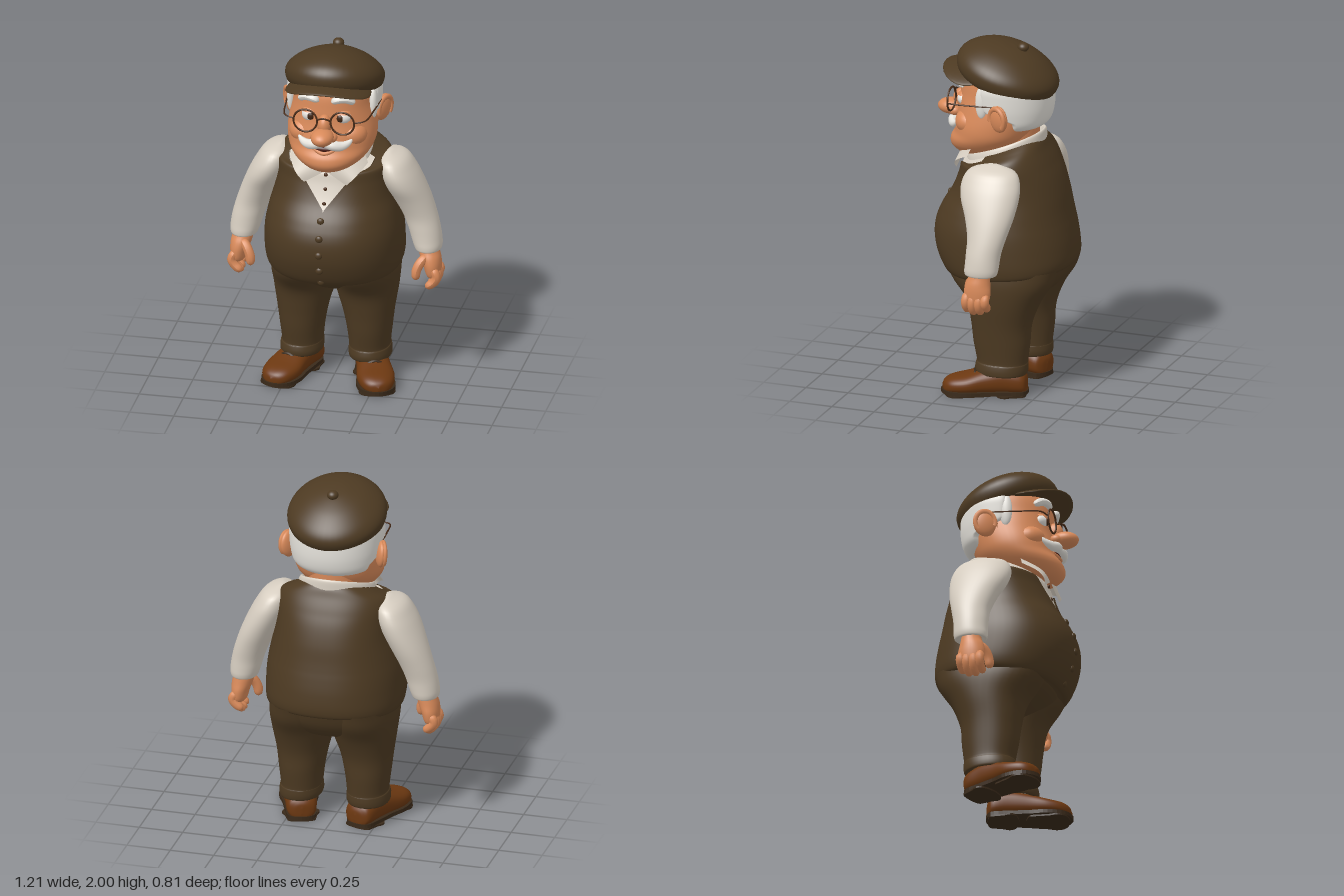
import * as THREE from 'three';
import { mergeVertices } from 'three/addons/utils/BufferGeometryUtils.js';

const paint = (name, color, side = THREE.FrontSide) => {
  const m = new THREE.MeshStandardMaterial({ color, side });
  m.name = name;
  return m;
};
const V = (x, y, z) => new THREE.Vector3(x, y, z);
const { lerp, smoothstep, clamp } = THREE.MathUtils;

// Smooth surface from fn(u, v) on a grid
function surface(fn, nu, nv) {
  const pos = [], idx = [];
  for (let j = 0; j <= nv; j++)
    for (let i = 0; i <= nu; i++) pos.push(...fn(i / nu, j / nv).toArray());
  for (let j = 0; j < nv; j++)
    for (let i = 0; i < nu; i++) {
      const a = j * (nu + 1) + i, c = a + nu + 1;
      idx.push(a, a + 1, c + 1, a, c + 1, c);
    }
  let g = new THREE.BufferGeometry();
  g.setAttribute('position', new THREE.Float32BufferAttribute(pos, 3));
  g.setIndex(idx);
  g = mergeVertices(g, 1e-5);
  g.computeVertexNormals();
  return g;
}

// Rounded cross-sections [y, halfWidth, zFront, zBack, centreX], bottom to top.
// open(y, rx) is the half angle left out at the front; panel fills that gap instead.
function loft(secs, { n = 2, inset = 0, open = () => 0, panel = false, bend } = {}, nu = 40, nv = 40) {
  const a = new THREE.CatmullRomCurve3(secs.map(s => V(s[1], s[0], s[4] || 0)), false, 'catmullrom');
  const b = new THREE.CatmullRomCurve3(secs.map(s => V(s[2], s[0], s[3])), false, 'catmullrom');
  const pw = w => Math.sign(w) * Math.abs(w) ** (2 / n);
  return surface((u, v) => {
    const p = a.getPoint(v), q = b.getPoint(v);
    const rx = Math.max(0, p.x), f = open(p.y, rx);
    const th = panel ? (u * 2 - 1) * (f + 0.06) : f + u * (Math.PI * 2 - 2 * f);
    const out = V(p.z + Math.max(0, rx - inset) * pw(Math.sin(th)), p.y,
      (q.x + q.z) / 2 + Math.max(0, (q.x - q.z) / 2 - inset) * pw(Math.cos(th)));
    if (bend) bend(out, u);
    return out;
  }, nu, nv);
}

// Tube along points with a radius rule r(t)
function sweep(points, r, seg = 16, sides = 10) {
  const curve = new THREE.CatmullRomCurve3(points.map(p => V(...p)));
  const g = new THREE.TubeGeometry(curve, seg, 1, sides);
  const pos = g.attributes.position, p = V(0, 0, 0);
  for (let i = 0; i < pos.count; i++) {
    const t = Math.floor(i / (sides + 1)) / seg, c = curve.getPointAt(t);
    p.fromBufferAttribute(pos, i).sub(c).multiplyScalar(r(t)).add(c);
    pos.setXYZ(i, p.x, p.y, p.z);
  }
  g.computeVertexNormals();
  return g;
}
const rounded = r => t => r * Math.max(0.02, 1 - Math.abs(2 * t - 1) ** 5) ** 0.5;
const ball = (x, y, z, rx, ry, rz) =>
  new THREE.SphereGeometry(1, 28, 20).scale(rx, ry, rz).translate(x, y, z);

export function createModel() {
  const cloth = paint('brown cloth', 0x4d3a22, THREE.DoubleSide);
  const skin = paint('skin', 0xd98a5a);
  const shirt = paint('shirt linen', 0xd8cfc2, THREE.DoubleSide);
  const white = paint('white hair', 0xe6e3dc, THREE.DoubleSide);
  const leather = paint('shoe leather', 0x6c3811);
  const sole = paint('dark sole', 0x3a2a1a);
  const frame = paint('spectacle frame', 0x4a2c18);
  const eyeWhite = paint('eye white', 0xeeeae4);
  const iris = paint('iris', 0x3f2412);
  const dark = paint('mouth inside', 0x4a1c14);

  const model = new THREE.Group();
  const add = (name, geo, mat, parent = model) => {
    const m = new THREE.Mesh(geo, mat);
    m.name = name;
    parent.add(m);
    return m;
  };

  // Waistcoat with V opening, and the shirt panel behind it; the neckline tilts forward
  const torso = [
    [0.71, 0.32, 0.25, -0.35], [0.70, 0.365, 0.30, -0.39], [0.75, 0.383, 0.345, -0.405],
    [0.85, 0.386, 0.385, -0.40], [0.95, 0.38, 0.388, -0.385], [1.05, 0.36, 0.35, -0.365],
    [1.15, 0.335, 0.29, -0.345], [1.25, 0.325, 0.25, -0.315], [1.33, 0.325, 0.23, -0.28],
    [1.395, 0.305, 0.20, -0.245], [1.44, 0.25, 0.18, -0.225], [1.475, 0.19, 0.15, -0.205]];
  const n = 2.25;
  const open = (y, rx) => y < 1.12 ? 0 :
    Math.asin(Math.min(0.95, (0.78 * (y - 1.12)) / rx) ** (n / 2));
  const bend = p => {
    p.y -= 0.1 * p.z * clamp((1 - p.y) / 0.3, 0, 1) + 0.33 * (p.z + 0.2) * smoothstep(p.y, 1.3, 1.47);
  };
  add('waistcoat', loft(torso, { n, open, bend }, 64, 90), cloth);
  add('shirtFront', loft(torso.slice(5), { n, inset: 0.01, open, panel: true, bend }, 24, 40), shirt);
  for (const [y, z] of [[1.07, 0.336], [0.98, 0.378], [0.885, 0.39], [0.785, 0.37], [0.7, 0.325]])
    add('waistcoatButton', ball(-0.008, y, z, 0.021, 0.021, 0.014), cloth);
  for (const [y, z] of [[1.31, 0.232], [1.23, 0.247], [1.155, 0.28]])
    add('shirtButton', ball(0, y, z, 0.011, 0.011, 0.007), frame);

  // Shirt collar band, tilted forward
  add('collarBand', loft([[1.355, 0.225, 0.225, -0.227], [1.41, 0.21, 0.22, -0.224],
    [1.422, 0.195, 0.205, -0.21], [1.39, 0.17, 0.18, -0.19]],
  { bend: p => { p.y += -0.38 * p.z; } }, 40, 16), shirt);

  // Trouser seat
  add('trouserSeat', loft([[0.515, 0.02, -0.04, -0.08], [0.54, 0.13, 0.05, -0.18],
    [0.59, 0.27, 0.145, -0.275], [0.66, 0.345, 0.24, -0.335], [0.76, 0.36, 0.30, -0.375]], { n: 2.2 }), cloth);

  // Head and neck
  add('neck', loft([[1.28, 0.15, 0.18, -0.15], [1.42, 0.165, 0.18, -0.18], [1.58, 0.17, 0.1, -0.19]]), skin);
  add('head', loft([[1.325, 0, 0.2, 0.12], [1.345, 0.11, 0.275, -0.01], [1.385, 0.178, 0.313, -0.08],
    [1.43, 0.22, 0.313, -0.12], [1.48, 0.244, 0.288, -0.16], [1.54, 0.25, 0.28, -0.19],
    [1.62, 0.242, 0.262, -0.22], [1.7, 0.226, 0.255, -0.23], [1.8, 0.218, 0.24, -0.24],
    [1.88, 0.18, 0.18, -0.2], [1.92, 0, 0, -0.03]], { n: 2.1 }, 48, 60), skin);
  add('noseTip', ball(0, 1.578, 0.325, 0.064, 0.046, 0.08), skin);
  add('noseBridge', ball(0, 1.63, 0.265, 0.04, 0.06, 0.05), skin);
  add('mouth', ball(0, 1.487, 0.283, 0.052, 0.015, 0.013), dark);
  add('lowerLip', sweep([[-0.07, 1.488, 0.272], [0, 1.466, 0.297], [0.07, 1.488, 0.272]], rounded(0.011)), skin);

  // Hair around the back and sides
  add('hair', loft([[1.545, 0.14, 0.1, -0.15], [1.53, 0.18, 0.12, -0.205], [1.56, 0.232, 0.17, -0.245],
    [1.63, 0.255, 0.22, -0.265], [1.72, 0.264, 0.24, -0.268], [1.78, 0.262, 0.24, -0.26],
    [1.86, 0.235, 0.22, -0.235]], {
    n: 2.1,
    open: y => lerp(1.95, 1.2, smoothstep(y, 1.58, 1.66)),
    bend: (p, u) => {
      const k = 1 - 0.13 * Math.max(0, 1 - 26 * Math.min(u, 1 - u)) ** 2;
      p.x *= k; p.z *= k;
    } }, 72, 36), white);

  // Flat cap, tilted back, with peak and button
  const cap = add('capCrown', loft([[-0.04, 0.225, 0.23, -0.24], [-0.055, 0.25, 0.255, -0.27],
    [-0.02, 0.272, 0.283, -0.295], [0.03, 0.274, 0.287, -0.297], [0.08, 0.24, 0.257, -0.258],
    [0.13, 0.165, 0.185, -0.175], [0.16, 0.075, 0.09, -0.08], [0.168, 0, 0, 0]], {}, 48, 40), cloth);
  cap.position.y = 1.818;
  cap.rotation.x = -0.29;
  const peak = ball(0, 1.845, 0.17, 0.242, 0.022, 0.187);
  const pp = peak.attributes.position;
  for (let i = 0; i < pp.count; i++) pp.setY(i, pp.getY(i) - 0.95 * pp.getX(i) ** 2);
  peak.computeVertexNormals();
  add('capPeak', peak, cloth);
  add('capButton', ball(0, 1.97, -0.098, 0.032, 0.027, 0.032), cloth);

  add('spectacleBridge', sweep([[-0.04, 1.665, 0.29], [0, 1.682, 0.305], [0.04, 1.665, 0.29]], () => 0.005), frame);

  // Everything paired, built on the model's left and mirrored
  for (const s of [1, -1]) {
    const side = new THREE.Group();
    side.name = s > 0 ? 'leftSide' : 'rightSide';
    side.scale.x = s;
    model.add(side);
    const put = (name, geo, mat) => add(name, geo, mat, side);

    // Trouser leg with turn-up
    put('trouserLeg', loft([[0.14, 0.08, 0.06, -0.15, 0.195], [0.125, 0.112, 0.095, -0.185, 0.195],
      [0.15, 0.12, 0.105, -0.195, 0.193], [0.185, 0.117, 0.10, -0.195, 0.192], [0.2, 0.114, 0.096, -0.193, 0.19],
      [0.3, 0.125, 0.115, -0.205, 0.19], [0.42, 0.145, 0.13, -0.215, 0.185],
      [0.55, 0.174, 0.16, -0.265, 0.176], [0.66, 0.182, 0.245, -0.335, 0.176],
      [0.75, 0.172, 0.285, -0.365, 0.178]], { n: 2.15 }), cloth);

    // Shoe, toes turned out
    const shoe = new THREE.Group();
    shoe.name = 'shoe';
    shoe.position.set(0.197, 0, -0.055);
    shoe.rotation.y = 0.33;
    side.add(shoe);
    add('shoeUpper', loft([[-0.138, 0, -0.05, -0.08], [-0.13, 0.05, -0.015, -0.115], [-0.1, 0.082, -0.01, -0.145],
      [0, 0.088, -0.01, -0.17], [0.1, 0.095, -0.01, -0.152], [0.2, 0.105, -0.01, -0.122],
      [0.28, 0.088, -0.01, -0.104], [0.322, 0.052, -0.015, -0.083], [0.338, 0, -0.035, -0.055]],
    { n: 2.4 }).rotateX(Math.PI / 2), leather, shoe);
    const outline = new THREE.CatmullRomCurve3([[0, -0.142], [0.07, -0.115], [0.086, -0.02], [0.095, 0.1], [0.109, 0.2],
      [0.083, 0.3], [0, 0.345], [-0.083, 0.3], [-0.109, 0.2], [-0.095, 0.1], [-0.086, -0.02], [-0.07, -0.115]]
      .map(([x, y]) => V(x, y, 0)), true);
    const soleShape = new THREE.Shape(outline.getPoints(48).slice(0, -1).map(p => new THREE.Vector2(p.x, p.y)));
    const slab = (h, y) => new THREE.ExtrudeGeometry(soleShape, { depth: h, bevelEnabled: false })
      .rotateX(Math.PI / 2).translate(0, y + h, 0);
    add('shoeSole', slab(0.022, 0.01), sole, shoe);
    add('heelBlock', slab(0.01, 0).scale(0.95, 1, 0.36).translate(0, 0, -0.08), sole, shoe);
    add('soleTread', slab(0.01, 0).scale(0.95, 1, 0.5).translate(0, 0, 0.155), sole, shoe);
    for (const [z, y] of [[0.085, 0.158], [0.12, 0.15], [0.155, 0.14]])
      add('shoeLace', sweep([[-0.045, y - 0.014, z], [0, y, z], [0.045, y - 0.014, z]], rounded(0.008), 10, 6), sole, shoe);

    // Sleeve
    put('sleeve', loft([[0.815, 0.04, 0.0, -0.09, 0.52], [0.797, 0.068, 0.04, -0.13, 0.522],
      [0.82, 0.079, 0.048, -0.143, 0.52], [0.86, 0.085, 0.046, -0.147, 0.512], [0.92, 0.089, 0.045, -0.153, 0.498],
      [1.0, 0.094, 0.048, -0.172, 0.472], [1.1, 0.102, 0.078, -0.198, 0.43], [1.2, 0.107, 0.122, -0.213, 0.383],
      [1.28, 0.10, 0.128, -0.208, 0.348], [1.345, 0.075, 0.09, -0.17, 0.322], [1.38, 0, -0.02, -0.06, 0.305]],
    { n: 2.05 }), shirt);

    // Hand with curled fingers
    put('palm', loft([[0.625, 0.01, -0.01, -0.06, 0.555], [0.645, 0.038, 0.03, -0.1, 0.553], [0.7, 0.05, 0.042, -0.112, 0.548],
      [0.75, 0.058, 0.035, -0.105, 0.537], [0.79, 0.058, 0.018, -0.1, 0.527], [0.83, 0.055, 0.01, -0.095, 0.522]], {}, 24, 20), skin);
    [-0.09, -0.053, -0.014, 0.023].forEach((z, i) => {
      const d = [0.024, 0.004, 0, 0.012][i];
      put('finger', sweep([[0.56, 0.7, z], [0.58, 0.645 + d / 2, z], [0.563, 0.605 + d, z],
        [0.52, 0.573 + d, z + 0.005]], rounded(0.025)), skin);
    });
    put('thumb', sweep([[0.525, 0.77, 0.0], [0.49, 0.73, 0.03], [0.471, 0.685, 0.042], [0.468, 0.633, 0.045]],
      rounded(0.027)), skin);

    // Collar wing
    const [A, B, C, D] = [V(0.012, 1.33, 0.243), V(0.195, 1.425, 0.13), V(0.222, 1.37, 0.15), V(0.12, 1.265, 0.252)];
    put('collarWing', surface((u, v) => {
      const p = D.clone().lerp(C, u).lerp(A.clone().lerp(B, u), v);
      p.z += 0.04 * Math.sin(Math.PI * u);
      return p;
    }, 12, 4), shirt);

    // Ear
    const ear = put('ear', ball(0, 0, 0, 0.028, 0.078, 0.066), skin);
    ear.position.set(0.263, 1.625, -0.052);
    ear.rotation.set(-0.15, -0.45, -0.12);
    add('earRim', new THREE.TorusGeometry(0.05, 0.013, 8, 28, 4.2).rotateZ(-0.6).rotateY(Math.PI / 2)
      .scale(1, 1.28, 1.1).translate(0.014, 0, 0), skin, ear);

    // Face details
    put('cheek', ball(0.125, 1.55, 0.165, 0.095, 0.075, 0.085), skin);
    put('nostril', ball(0.047, 1.568, 0.29, 0.03, 0.028, 0.035), skin);
    put('eyeball', ball(0.09, 1.665, 0.212, 0.05, 0.04, 0.042), eyeWhite);
    put('iris', ball(0.084, 1.665, 0.247, 0.02, 0.021, 0.01), iris);
    put('upperLid', new THREE.SphereGeometry(1, 24, 10, 0, Math.PI * 2, 0, 1.1).scale(0.056, 0.046, 0.048)
      .translate(0.09, 1.668, 0.21), skin);
    put('eyebrow', sweep([[0.035, 1.762, 0.25], [0.07, 1.779, 0.25], [0.115, 1.778, 0.232], [0.158, 1.75, 0.2]],
      rounded(0.022)), white);
    put('sideburn', ball(0.234, 1.7, 0.06, 0.024, 0.095, 0.036), white);
    put('moustache', sweep([[0.0, 1.53, 0.288], [0.045, 1.522, 0.296], [0.095, 1.513, 0.278], [0.135, 1.528, 0.252],
      [0.155, 1.557, 0.23]], t => 0.003 + 0.026 * Math.sin(Math.PI * Math.min(1, 0.25 + t * 0.75)), 24, 12), white);

    // Spectacles
    put('lensRim', new THREE.TorusGeometry(0.067, 0.0055, 8, 40).translate(0.105, 1.655, 0.287), frame);
    put('temple', sweep([[0.17, 1.662, 0.285], [0.225, 1.668, 0.26], [0.25, 1.678, 0.12], [0.262, 1.69, -0.03]],
      () => 0.0045, 24, 6), frame);
  }
  return model;
}
